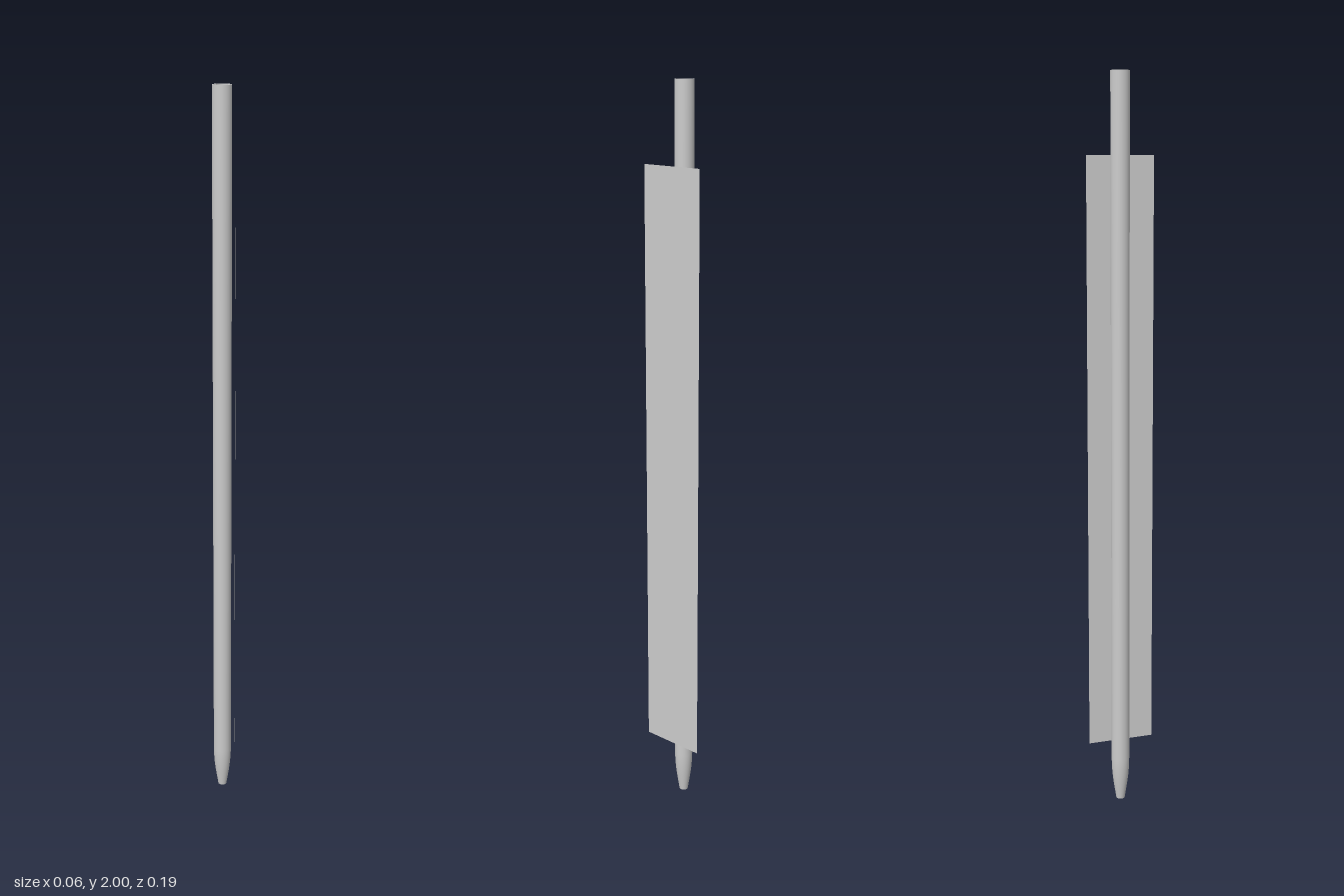
import * as THREE from 'three';

export function createModel() {
  const group = new THREE.Group();
  const material = new THREE.MeshStandardMaterial({ color: 0xcccccc, side: THREE.DoubleSide });

  // Lathed surface around the tube axis, from [radius, height] pairs
  function lathe(name, points) {
    const geometry = new THREE.LatheGeometry(points.map(([r, y]) => new THREE.Vector2(r, y)), 48);
    const mesh = new THREE.Mesh(geometry, material);
    mesh.name = name;
    mesh.position.set(-0.005, 0, -0.012);
    group.add(mesh);
  }

  // Hollow tube narrowing to an open tip
  lathe('tubeOuterWall', [[0.012, 0], [0.016, 0.025], [0.0198, 0.05], [0.0228, 0.075], [0.0245, 0.1], [0.025, 0.12], [0.025, 2]]);
  lathe('tubeInnerWall', [[0.021, 2], [0.021, 0.12], [0.0205, 0.1], [0.0188, 0.075], [0.016, 0.05], [0.0125, 0.025], [0.0095, 0]]);
  lathe('topRim', [[0.025, 2], [0.021, 2]]);
  lathe('tipRim', [[0.0095, 0], [0.012, 0]]);

  // Thin flat panel standing beside the tube, facing +x
  const panel = new THREE.Mesh(new THREE.PlaneGeometry(0.186, 1.63), material);
  panel.name = 'sidePanel';
  panel.rotation.y = Math.PI / 2;
  panel.position.set(0.03, 0.975, 0);
  group.add(panel);

  return group;
}
